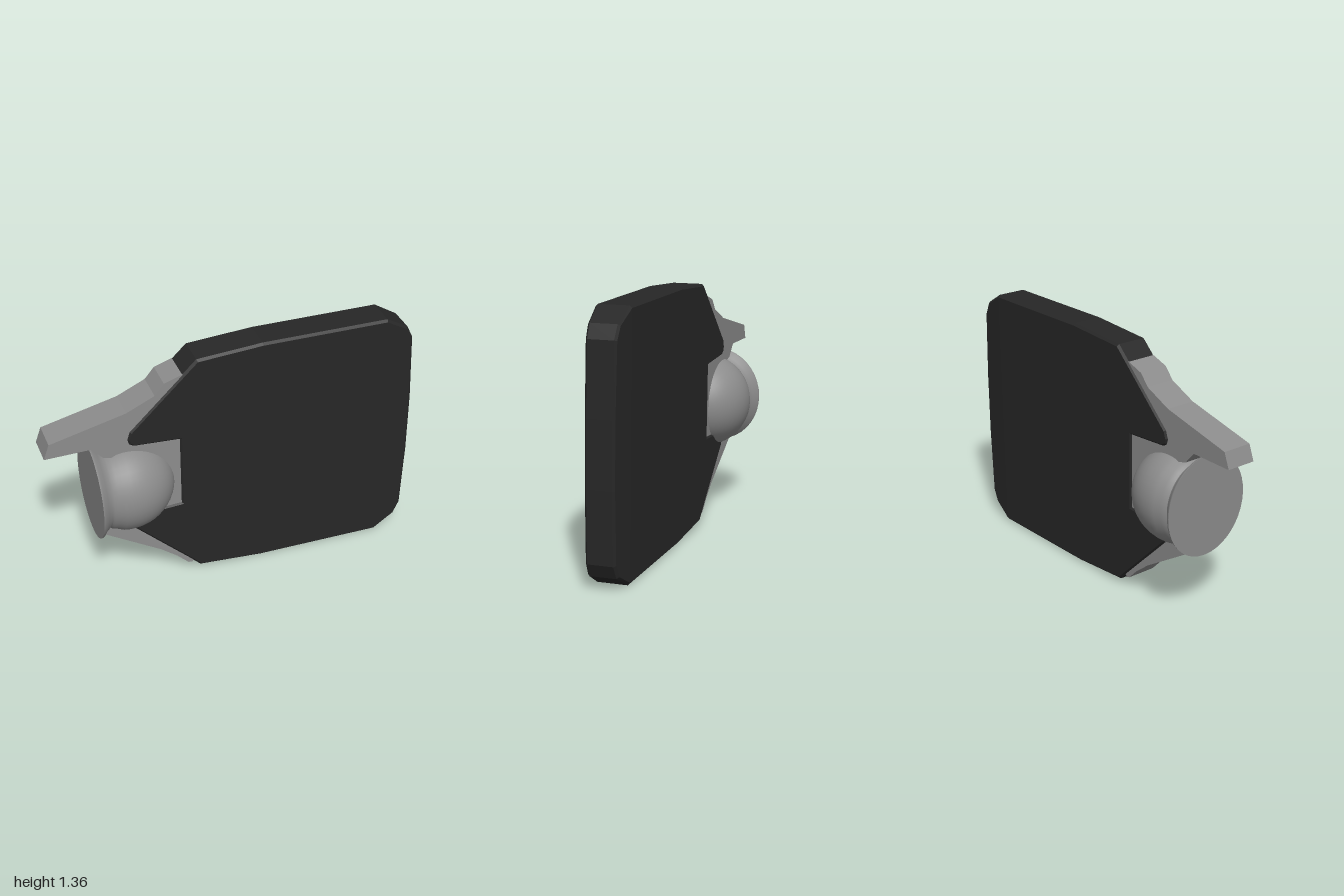
import * as THREE from 'three';

const V = (x, y) => new THREE.Vector2(x, y);

// Both plates lean slightly in z across their width and height
const lean = (x, y) => 0.01 + 0.017 * (x - 0.3) - 0.0146 * (y - 0.69);

// Offset a counter-clockwise outline inwards with mitred corners
function inset(pts, d) {
  return pts.map((p, i) => {
    const a = pts[(i + pts.length - 1) % pts.length], b = pts[(i + 1) % pts.length];
    const u = p.clone().sub(a).normalize(), v = b.clone().sub(p).normalize();
    const n1 = V(-u.y, u.x), n2 = V(-v.y, v.x);
    return n1.clone().add(n2).multiplyScalar(d / (1 + n1.dot(n2))).add(p);
  });
}

// Plate from an outline: bevelled rim, with each face made of the given regions
function plate(outline, half, bevel, regions, taper) {
  const pos = [];
  const levels = [[-half, bevel], [-half + bevel, 0], [half - bevel, 0], [half, bevel]];
  const rings = levels.map(([z, d]) => inset(outline, d).map(p =>
    [p.x, p.y, z * taper(p.x) + lean(p.x, p.y)]));
  const n = outline.length;
  for (let k = 0; k < 3; k++) {
    for (let i = 0; i < n; i++) {
      const j = (i + 1) % n;
      const a = rings[k][i], b = rings[k][j], c = rings[k + 1][j], d = rings[k + 1][i];
      pos.push(...a, ...b, ...c, ...a, ...c, ...d);
    }
  }
  for (const region of regions) {
    const faces = THREE.ShapeUtils.triangulateShape(region.map(i => outline[i]), []);
    for (const f of faces) {
      const [a, b, c] = f.map(i => region[i]);
      pos.push(...rings[3][a], ...rings[3][b], ...rings[3][c]);
      pos.push(...rings[0][a], ...rings[0][c], ...rings[0][b]);
    }
  }
  const g = new THREE.BufferGeometry();
  g.setAttribute('position', new THREE.Float32BufferAttribute(pos, 3));
  g.computeVertexNormals();
  return g;
}

export function createModel() {
  const group = new THREE.Group();
  const dark = new THREE.MeshStandardMaterial({ color: 0x272727 });
  dark.name = 'dark housing';
  const grey = new THREE.MeshStandardMaterial({ color: 0x8c8c8c });
  grey.name = 'grey mount';
  const add = (name, geometry, material) => {
    const m = new THREE.Mesh(geometry, material);
    m.name = name;
    group.add(m);
    return m;
  };

  // Housing: lower half listed from the notch outwards, upper half mirrored about y = 0.69
  const lower = [
    [-0.30, 0.49], [-0.54, 0.476], [-0.566, 0.46], [-0.575, 0.43], [-0.56, 0.385],
    [-0.20, 0.035], [0.15, 0.01], [0.83, 0.01], [0.95, 0.08], [0.985, 0.15], [1.0, 0.52],
  ].map(p => V(...p));
  const upper = lower.map(p => V(p.x, 1.38 - p.y)).reverse();
  const outline = [...lower, ...upper];
  const fold = 7, last = outline.length - 1;
  const all = outline.map((_, i) => i);
  // The faces fold at x = 0.83 and thin towards the outer edge
  const inner = all.filter(i => i <= fold || i >= last - fold);
  const outer = all.filter(i => i >= fold && i <= last - fold);
  const thin = x => 1 - 0.18 * Math.max(0, (x - 0.83) / 0.17);
  add('housing', plate(outline, 0.091, 0.012, [inner, outer], thin), dark);

  // Bracket: upper arm, notch web and lower strut in one plate
  const bracket = [
    [-1.0, 0.93], [-0.76, 0.935], [-0.70, 0.87], [-0.62, 0.85], [-0.62, 0.45],
    [-0.73, 0.42], [-0.73, 0.39], [-0.42, 0.20], [-0.33, 0.13], [-0.27, 0.07],
    [-0.25, 0.065], [-0.22, 0.10], [-0.22, 1.28], [-0.28, 1.272], [-0.37, 1.24],
    [-0.42, 1.18], [-0.57, 1.11], [-0.97, 1.012],
  ].map(p => V(...p));
  add('bracket', plate(bracket, 0.082, 0, [bracket.map((_, i) => i)], () => 1), grey);

  // Pivot: domed ball with a neck and a flared foot, turned about the x axis
  const pivot = new THREE.Group();
  pivot.name = 'pivot';
  pivot.position.y = 0.637;
  pivot.scale.y = 1.06;
  group.add(pivot);
  const turned = (name, pts) => {
    const g = new THREE.LatheGeometry(pts.map(p => V(p[1], p[0])), 40);
    g.rotateZ(-Math.PI / 2);
    const m = add(name, g, grey);
    pivot.add(m);
  };
  turned('flaredFoot', [[-0.76, 0.253], [-0.748, 0.25], [-0.725, 0.225], [-0.70, 0.207], [-0.68, 0.203], [-0.665, 0.21]]);
  const dome = [[-0.705, 0.2], [-0.69, 0.216], [-0.665, 0.222]];
  for (let i = 0; i <= 14; i++) {
    const t = -0.2 + (Math.PI / 2 + 0.2) * i / 14;
    dome.push([-0.58 + 0.262 * Math.sin(t), Math.max(0, 0.24 * Math.cos(t))]);
  }
  turned('ballDome', dome);
  const base = new THREE.CircleGeometry(0.253, 40).rotateY(-Math.PI / 2).translate(-0.76, 0, 0);
  pivot.add(add('footBase', base, grey));

  return group;
}
